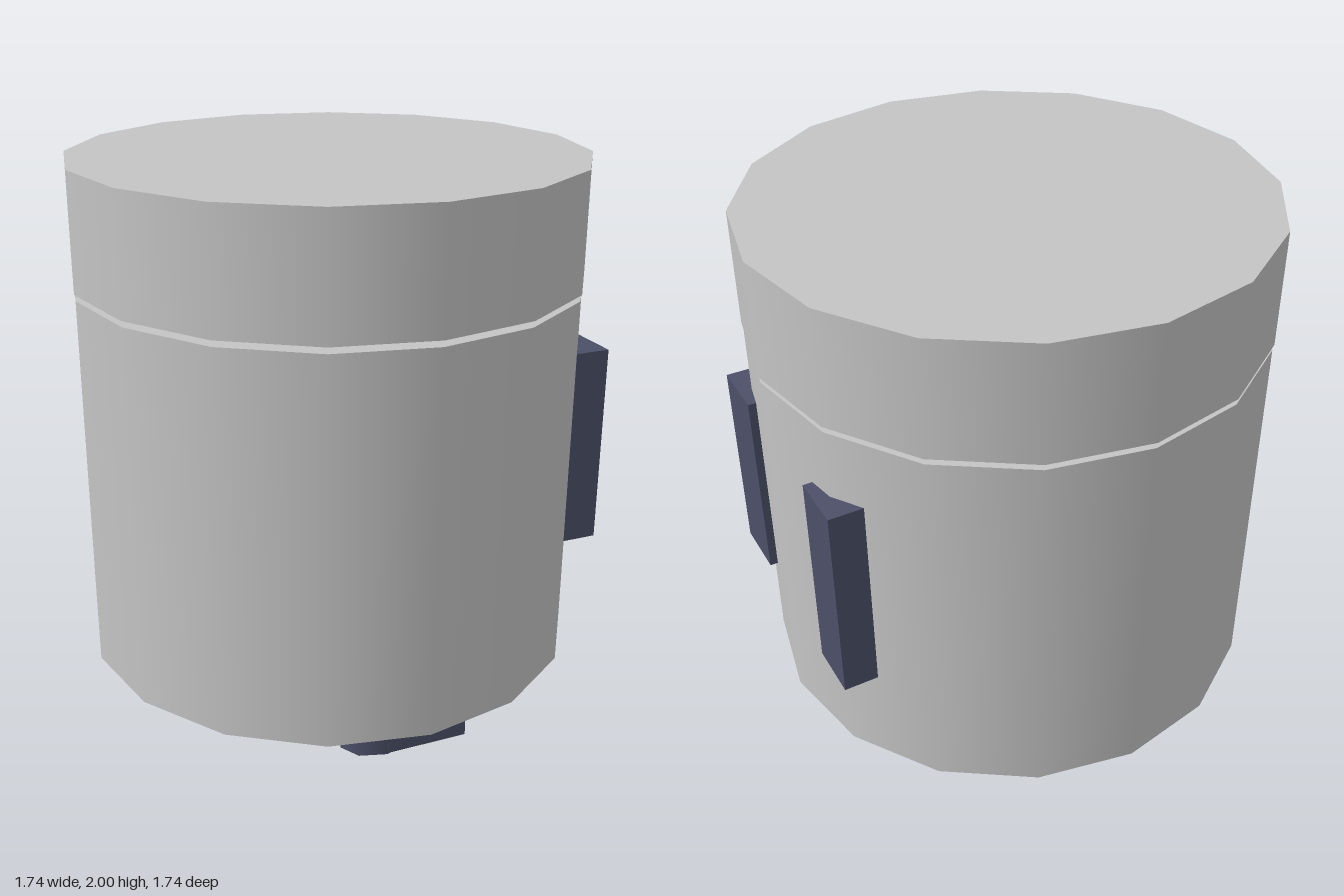
import * as THREE from 'three';

export function createModel() {
  const model = new THREE.Group();
  const grey = new THREE.MeshStandardMaterial({ color: 0xc4c4c4 });
  grey.name = 'light grey';
  const slate = new THREE.MeshStandardMaterial({ color: 0x4c5068 });
  slate.name = 'dark slate';

  const add = (name, geometry, material, x, y, z, parent = model) => {
    const mesh = new THREE.Mesh(geometry, material);
    mesh.name = name;
    mesh.position.set(x, y, z);
    parent.add(mesh);
    return mesh;
  };
  // Box given by its limits on each axis
  const addBox = (name, [x0, x1], [y0, y1], [z0, z1], parent) =>
    add(name, new THREE.BoxGeometry(x1 - x0, y1 - y0, z1 - z0), slate,
      (x0 + x1) / 2, (y0 + y1) / 2, (z0 + z1) / 2, parent);

  // Sixteen-sided drum body
  add('body', new THREE.CylinderGeometry(0.866, 0.866, 1.303, 16), grey, 0, 0.9315, 0);

  // Lid with a shallow cone underneath that rests in the body
  const lid = new THREE.Group();
  lid.name = 'lid';
  model.add(lid);
  add('lidTop', new THREE.CylinderGeometry(0.87, 0.87, 0.396, 16), grey, 0, 1.802, 0, lid);
  add('lidUnderside', new THREE.CylinderGeometry(0.87, 0.4, 0.021, 16, 1, true), grey, 0, 1.5935, 0, lid);

  // Arms on the front-facing side of the drum
  addBox('leftArm', [0.72, 0.845], [0.645, 1.345], [0.245, 0.452]);
  addBox('rightArm', [0.72, 0.85], [0.63, 1.345], [-0.432, -0.24]);

  // Legs: oval eight-sided post with a block foot pointing to +x
  for (const [side, z, footTop] of [['left', 0.45, 0.2], ['right', -0.343, 0.19]]) {
    const leg = new THREE.Group();
    leg.name = side + 'Leg';
    model.add(leg);
    const post = new THREE.CylinderGeometry(1, 1, 0.29, 8);
    post.scale(0.135, 1, 0.098);
    add(side + 'Post', post, slate, -0.003, 0.145, z, leg);
    addBox(side + 'Foot', [0, 0.3], [0.004, footTop], [z - 0.098, z + 0.098], leg);
  }
  return model;
}
